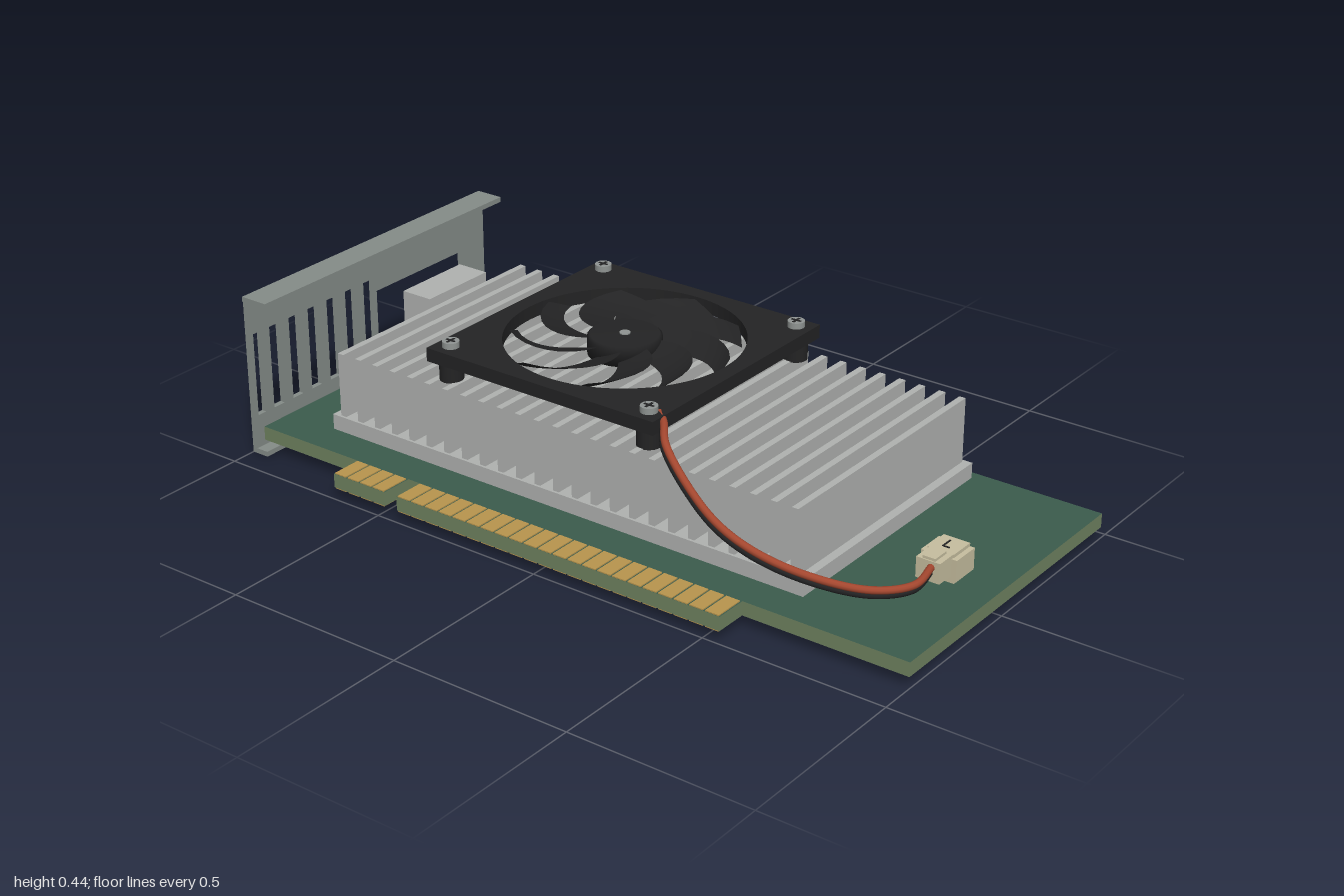
import * as THREE from 'three';

const mat = (name, color, side = THREE.FrontSide) => {
  const m = new THREE.MeshStandardMaterial({ color, side });
  m.name = name;
  return m;
};

export function createModel() {
  const root = new THREE.Group();
  const green = mat('board green', 0x3b5b4c);
  const olive = mat('board edge olive', 0x6f8260);
  const gold = mat('contact gold', 0xb8954e);
  const steel = mat('bracket steel', 0x858c88);
  const alu = mat('aluminium', 0xb0b2b0);
  const black = mat('fan black', 0x232324, THREE.DoubleSide);
  const red = mat('wire red', 0xa4472f);
  const cream = mat('plug cream', 0xc6be9f);
  const screwGrey = mat('screw grey', 0x8f9492);

  const add = (name, geo, material, x = 0, y = 0, z = 0, parent = root) => {
    const m = new THREE.Mesh(geo, material);
    m.name = name;
    m.position.set(x, y, z);
    parent.add(m);
    return m;
  };
  // box given by its limits on each axis
  const box = (name, material, x0, x1, y0, y1, z0, z1, parent = root) =>
    add(name, new THREE.BoxGeometry(x1 - x0, y1 - y0, z1 - z0), material,
      (x0 + x1) / 2, (y0 + y1) / 2, (z0 + z1) / 2, parent);
  const cyl = (name, material, r, y0, y1, x, z, parent = root) =>
    add(name, new THREE.CylinderGeometry(r, r, y1 - y0, 28), material, x, (y0 + y1) / 2, z, parent);
  const rectPath = (x0, x1, y0, y1) => new THREE.Path([
    [x0, y0], [x0, y1], [x1, y1], [x1, y0]].map(p => new THREE.Vector2(...p)));
  const group = name => {
    const g = new THREE.Group();
    g.name = name;
    root.add(g);
    return g;
  };

  // Circuit board with two contact tabs on its front edge
  const outline = [[-0.98, -0.475], [1, -0.475], [1, 0.405], [0.545, 0.405], [0.545, 0.495],
    [-0.44, 0.495], [-0.44, 0.405], [-0.48, 0.405], [-0.48, 0.495], [-0.65, 0.495],
    [-0.65, 0.405], [-0.98, 0.405]].map(([x, z]) => new THREE.Vector2(x, -z));
  const boardGeo = new THREE.ExtrudeGeometry(new THREE.Shape(outline), { depth: 0.038, bevelEnabled: false });
  boardGeo.rotateX(-Math.PI / 2);
  add('circuitBoard', boardGeo, [green, olive], 0, 0.031, 0);

  // Gold contacts on both faces of the tabs
  const contacts = group('edgeContacts');
  for (const [x0, x1, n] of [[-0.65, -0.48, 4], [-0.44, 0.545, 22]]) {
    const pitch = (x1 - x0) / n;
    for (let i = 0; i < n; i++) {
      const a = x0 + pitch * i + 0.003, b = a + pitch - 0.006;
      box('contactTop', gold, a, b, 0.068, 0.072, 0.41, 0.494, contacts);
      box('contactBottom', gold, a, b, 0.028, 0.032, 0.41, 0.494, contacts);
    }
  }

  // Mounting bracket: slotted plate, port window and two flanges
  const bracket = group('bracket');
  const plate = new THREE.Shape([[-0.495, 0.005], [0.43, 0.005], [0.43, 0.43], [-0.045, 0.43],
    [-0.045, 0.412], [-0.475, 0.412], [-0.475, 0.43], [-0.495, 0.43]].map(p => new THREE.Vector2(...p)));
  for (let i = 0; i < 7; i++) {
    const c = i === 6 ? 0.403 : -0.018 + i * 0.0715;
    const half = i === 6 ? 0.014 : 0.019;
    plate.holes.push(rectPath(c - half, c + half, 0.105, 0.335));
  }
  plate.holes.push(rectPath(-0.4, -0.05, 0.13, 0.295));
  const plateGeo = new THREE.ExtrudeGeometry(plate, { depth: 0.015, bevelEnabled: false });
  plateGeo.rotateY(-Math.PI / 2);
  add('bracketPlate', plateGeo, steel, -0.985, 0, 0, bracket);
  box('topFlange', steel, -1, -0.92, 0.427, 0.441, -0.497, 0.432, bracket);
  box('bottomFlange', steel, -1, -0.95, 0, 0.014, -0.495, 0.43, bracket);

  // Port: metal shell with a dark socket
  const port = group('port');
  box('portShell', alu, -0.98, -0.885, 0.14, 0.262, -0.385, -0.15, port);
  box('portSocket', black, -0.984, -0.979, 0.152, 0.25, -0.372, -0.163, port);

  // Heat sink: base and fins
  const sink = group('heatSink');
  box('sinkBase', alu, -0.79, 0.67, 0.094, 0.136, -0.405, 0.342, sink);
  for (let i = 0; i < 25; i++) {
    const x = -0.759 + i * 0.0582;
    box('fin', alu, x - 0.009, x + 0.009, 0.13, 0.311, -0.395, 0.335, sink);
  }

  // Standoffs above the board, bolts below
  for (const x of [-0.63, 0.51]) for (const z of [0.265, -0.335]) {
    cyl('standoff', alu, 0.029, 0.068, 0.095, x, z);
    cyl('boltShaft', screwGrey, 0.012, 0.014, 0.033, x, z);
    cyl('boltHead', screwGrey, 0.022, 0.009, 0.022, x, z);
  }

  // Fan frame with a round opening
  const fan = group('fan');
  fan.position.set(-0.132, 0, -0.036);
  const h = 0.351;
  const frame = new THREE.Shape([[-h, -h], [h, -h], [h, h], [-h, h]].map(p => new THREE.Vector2(...p)));
  const opening = new THREE.Path();
  opening.absarc(0, 0, 0.307, 0, Math.PI * 2, true);
  frame.holes.push(opening);
  const frameGeo = new THREE.ExtrudeGeometry(frame, { depth: 0.036, bevelEnabled: false, curveSegments: 40 });
  frameGeo.rotateX(-Math.PI / 2);
  add('fanFrame', frameGeo, black, 0, 0.361, 0, fan);

  // Hub with a small crossed centre screw
  add('hub', new THREE.LatheGeometry([[0, 0.355], [0.095, 0.355], [0.095, 0.4], [0.088, 0.406], [0, 0.406]]
    .map(p => new THREE.Vector2(...p)), 40), black, 0, 0, 0, fan);
  cyl('hubScrew', screwGrey, 0.014, 0.404, 0.409, 0, 0, fan);

  // Swept blades, pitched from leading to trailing edge
  for (let i = 0; i < 9; i++) {
    const geo = new THREE.PlaneGeometry(1, 1, 4, 10);
    const p = geo.attributes.position;
    for (let k = 0; k < p.count; k++) {
      const s = p.getX(k), t = p.getY(k) + 0.5;
      const r = 0.085 + 0.208 * t;
      const width = (0.055 + 0.045 * Math.sin(Math.PI * Math.min(t * 0.8 + 0.1, 1))) / r;
      const a = i * Math.PI * 2 / 9 + 0.65 * t * t + s * width;
      p.setXYZ(k, r * Math.cos(a), 0.382 - s * 0.03, r * Math.sin(a));
    }
    geo.computeVertexNormals();
    add('blade', geo, black, 0, 0, 0, fan);
  }

  // Corner legs and crossed screws
  for (const sx of [-1, 1]) for (const sz of [-1, 1]) {
    const x = sx * 0.308, z = sz * 0.308;
    cyl('fanLeg', black, 0.031, 0.309, 0.363, x, z, fan);
    cyl('fanScrew', screwGrey, 0.022, 0.396, 0.413, x, z, fan);
    box('screwSlot', black, x - 0.014, x + 0.014, 0.412, 0.4145, z - 0.003, z + 0.003, fan);
    box('screwSlot', black, x - 0.003, x + 0.003, 0.412, 0.4145, z - 0.014, z + 0.014, fan);
  }

  // Pair of fan wires running to the plug
  const path = [[0.19, 0.386, 0.25], [0.225, 0.383, 0.28], [0.28, 0.365, 0.345], [0.36, 0.298, 0.372],
    [0.45, 0.228, 0.378], [0.56, 0.185, 0.375], [0.7, 0.155, 0.348], [0.82, 0.134, 0.285],
    [0.878, 0.128, 0.2], [0.862, 0.127, 0.09]];
  const wire = (name, material, dx, dy, dz) => {
    const curve = new THREE.CatmullRomCurve3(path.map(([x, y, z]) => new THREE.Vector3(x + dx, y + dy, z + dz)));
    add(name, new THREE.TubeGeometry(curve, 80, 0.0095, 10), material);
  };
  wire('redWire', red, 0, 0.003, 0);
  wire('blackWire', black, -0.006, -0.013, -0.004);

  // Plug and its socket on the board
  const plug = group('plug');
  box('plugBody', cream, 0.823, 0.888, 0.092, 0.146, 0.04, 0.103, plug);
  box('plugLatch', cream, 0.838, 0.873, 0.14, 0.153, 0.05, 0.1, plug);
  box('socket', cream, 0.805, 0.903, 0.08, 0.137, -0.028, 0.052, plug);
  box('socketRoof', cream, 0.818, 0.89, 0.135, 0.146, -0.028, 0.045, plug);
  box('socketFoot', cream, 0.815, 0.893, 0.067, 0.082, -0.02, 0.044, plug);
  box('latchGap', black, 0.845, 0.849, 0.144, 0.148, -0.01, 0.025, plug);
  box('latchGap', black, 0.845, 0.865, 0.144, 0.148, 0.021, 0.025, plug);

  return root;
}
